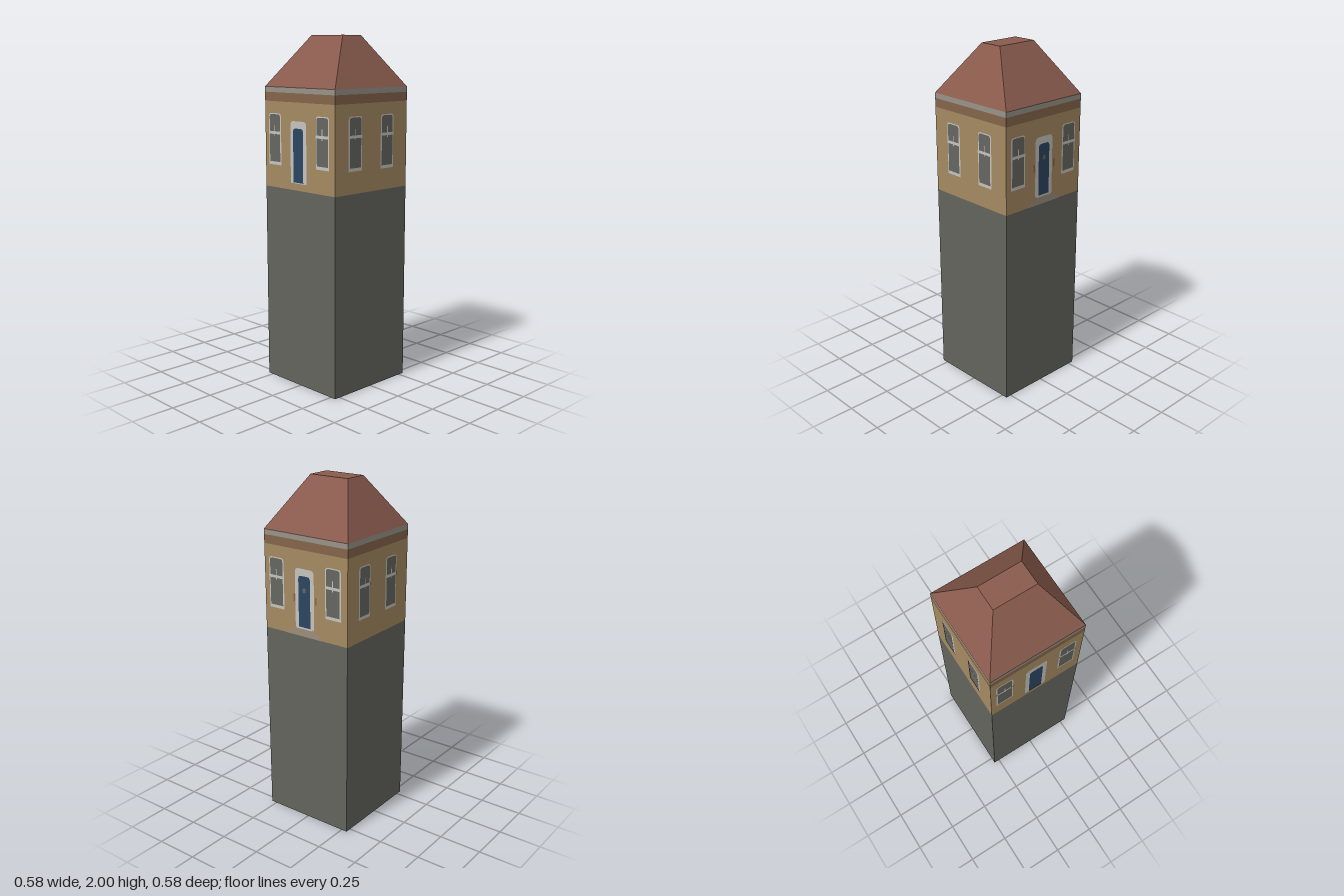
import * as THREE from 'three';

const HALF = 0.285; // half the width of the square tower

const mat = (name, color) => {
  const m = new THREE.MeshStandardMaterial({ color });
  m.name = name;
  return m;
};

export function createModel() {
  const stone = mat('dark stone', 0x64645e);
  const wall = mat('ochre wall', 0xa58a61);
  const band = mat('brown band', 0x85654a);
  const trim = mat('grey trim', 0x98938a);
  const roofRed = mat('roof red', 0x8a5b4d);
  const glass = mat('window glass', 0x656560);
  const white = mat('frame white', 0xc4c3be);
  const blue = mat('door blue', 0x2c4560);
  const stepGrey = mat('step grey', 0x9c8d7c);

  const model = new THREE.Group();
  model.name = 'tower';

  // Square storeys stacked from bottom to eaves
  const storey = (name, y0, y1, material) => {
    const mesh = new THREE.Mesh(new THREE.BoxGeometry(HALF * 2, y1 - y0, HALF * 2), material);
    mesh.position.y = (y0 + y1) / 2;
    mesh.name = name;
    model.add(mesh);
    return mesh;
  };
  storey('base', 0, 1.145, stone);
  storey('upperWall', 1.145, 1.635, wall);
  storey('brownBand', 1.635, 1.685, band);
  storey('eavesTrim', 1.685, 1.715, trim);

  // Hipped roof with a flat top: a box with its upper corners drawn in
  const roof = storey('roof', 1.715, 2, roofRed);
  const p = roof.geometry.attributes.position;
  for (let i = 0; i < p.count; i++) {
    if (p.getY(i) > 0) {
      p.setX(i, Math.sign(p.getX(i)) * 0.071);
      p.setZ(i, Math.sign(p.getZ(i)) * 0.126);
    }
  }
  roof.geometry.computeVertexNormals();

  // Flat plate with softened top corners, lying just off a wall
  const plate = (side, name, x0, x1, y0, y1, layer, material, r = 0) => {
    const s = new THREE.Shape();
    s.moveTo(x0, y0);
    s.lineTo(x1, y0);
    s.lineTo(x1, y1 - r);
    if (r) s.quadraticCurveTo(x1, y1, x1 - r, y1);
    s.lineTo(x0 + r, y1);
    if (r) s.quadraticCurveTo(x0, y1, x0, y1 - r);
    s.closePath();
    const mesh = new THREE.Mesh(new THREE.ShapeGeometry(s, 4), material);
    mesh.position.z = HALF + layer * 0.0015;
    mesh.name = name;
    side.add(mesh);
  };

  // Sash window: pale surround, glass and a crossbar
  const addWindow = (side, cx, y0 = 1.27) => {
    const w = 0.052, y1 = 1.568;
    plate(side, 'windowFrame', cx - w, cx + w, y0, y1, 1, white, 0.02);
    plate(side, 'windowGlass', cx - w + 0.008, cx + w - 0.008, y0 + 0.018, y1 - 0.006, 2, glass, 0.015);
    plate(side, 'windowCrossbar', cx - w, cx + w, 1.45, 1.466, 3, white);
    plate(side, 'windowMullion', cx - 0.003, cx + 0.003, 1.44, 1.5, 3, white);
  };

  // Panelled door with a pale surround
  const addDoor = (side) => {
    plate(side, 'doorFrame', -0.069, 0.061, 1.185, 1.532, 1, white, 0.025);
    plate(side, 'door', -0.045, 0.036, 1.19, 1.492, 2, blue, 0.02);
  };

  const makeSide = (name, angle) => {
    const side = new THREE.Group();
    side.name = name;
    side.rotation.y = angle;
    model.add(side);
    return side;
  };

  // Front and back carry two windows each
  for (const [name, angle] of [['frontDetails', 0], ['backDetails', Math.PI]]) {
    const side = makeSide(name, angle);
    addWindow(side, -0.133);
    addWindow(side, 0.12, 1.265);
  }

  // The two flanks carry a door between windows
  for (const [name, angle] of [['leftDetails', Math.PI / 2], ['rightDetails', -Math.PI / 2]]) {
    const side = makeSide(name, angle);
    addWindow(side, -0.2, 1.275);
    addWindow(side, 0.19, 1.28);
    addDoor(side);
    if (name !== 'leftDetails') continue;
    // Stoop and small fittings on the main entrance
    plate(side, 'upperStep', -0.07, 0.065, 1.172, 1.196, 3, stepGrey);
    plate(side, 'middleStep', -0.105, 0.095, 1.158, 1.173, 3, stepGrey);
    plate(side, 'lowerStep', -0.13, 0.115, 1.146, 1.159, 3, stepGrey);
    plate(side, 'doorSill', -0.06, 0.052, 1.19, 1.2, 4, white);
    plate(side, 'knocker', -0.015, 0.005, 1.4, 1.425, 3, glass);
    for (const x of [-0.082, 0.07]) plate(side, 'wallLamp', x, x + 0.01, 1.34, 1.385, 1, band);
  }

  return model;
}
